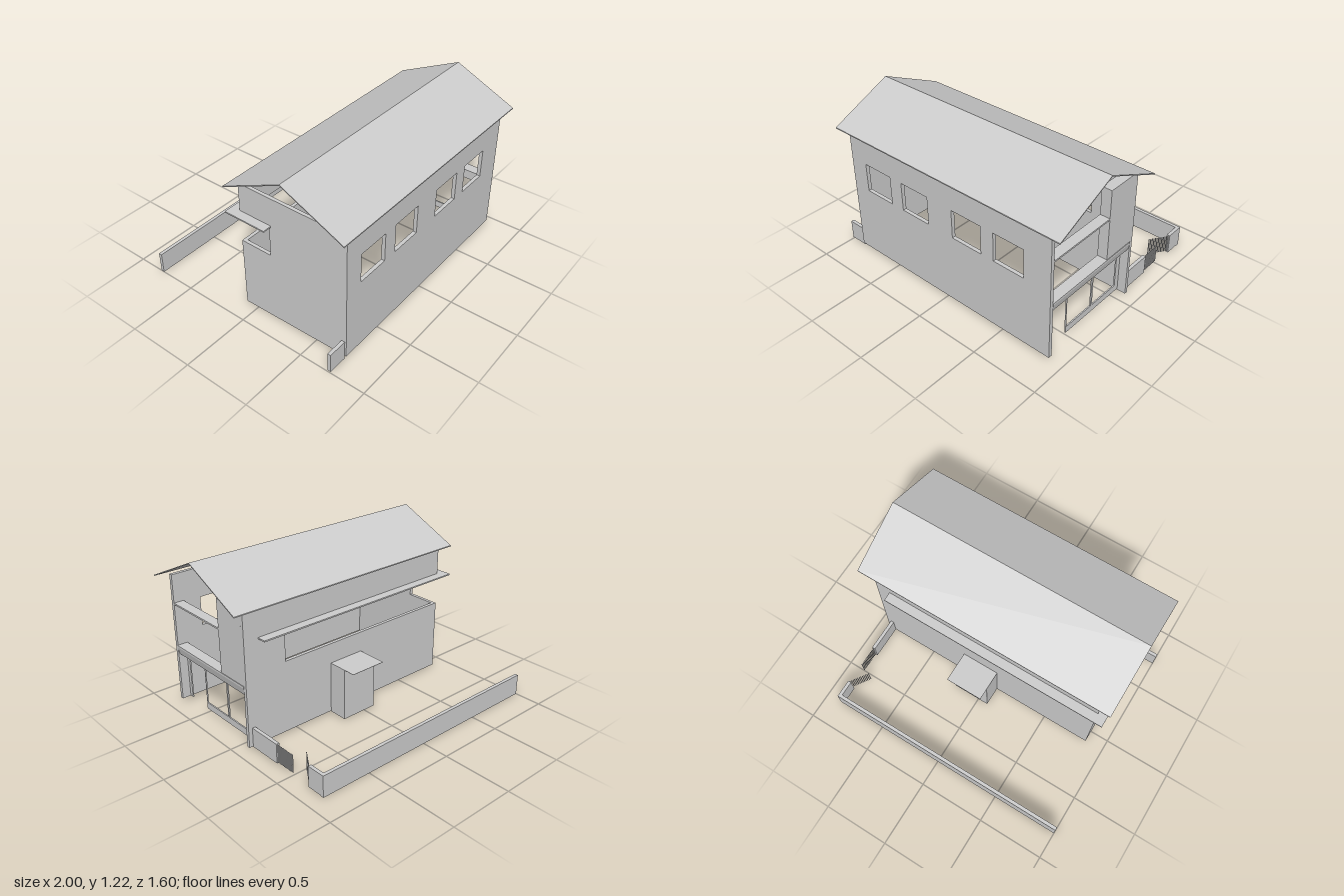
import * as THREE from 'three';

export function createModel() {
  const model = new THREE.Group();
  const grey = new THREE.MeshStandardMaterial({ color: 0xcccccc, flatShading: true, side: THREE.DoubleSide });

  const add = (name, geometry, parent = model) => {
    const mesh = new THREE.Mesh(geometry, grey);
    mesh.name = name;
    parent.add(mesh);
    return mesh;
  };
  // Box given by its limits on each axis
  const block = (name, [x0, x1], [y0, y1], [z0, z1], parent) => {
    const mesh = add(name, new THREE.BoxGeometry(x1 - x0, y1 - y0, z1 - z0), parent);
    mesh.position.set((x0 + x1) / 2, (y0 + y1) / 2, (z0 + z1) / 2);
    return mesh;
  };
  const outline = (pts) => new THREE.Shape(pts.map(([a, b]) => new THREE.Vector2(a, b)));
  // Upright panel drawn in x,y and extruded from z0 to z1
  const panelZ = (name, shape, z0, z1) =>
    add(name, new THREE.ExtrudeGeometry(shape, { depth: z1 - z0, bevelEnabled: false }).translate(0, 0, z0));
  // Upright panel drawn in z,y and extruded from x0 to x1
  const panelX = (name, shape, x0, x1) =>
    add(name, new THREE.ExtrudeGeometry(shape, { depth: x1 - x0, bevelEnabled: false }).rotateY(-Math.PI / 2).translate(x1, 0, 0));

  // Front wall with four windows
  const front = outline([[-0.86, 0.04], [0.91, 0.04], [0.91, 1], [-0.86, 1]]);
  for (const [a, b] of [[-0.72, -0.475], [-0.365, -0.12], [0.1, 0.35], [0.455, 0.7]])
    front.holes.push(outline([[a, 0.565], [a, 0.78], [b, 0.78], [b, 0.565]]));
  panelZ('frontWall', front, 0.73, 0.757);

  // Back wall and right wall share a corner strip window
  panelZ('backWall', outline([[-0.835, 0.02], [0.91, 0.02], [0.91, 1], [-0.835, 1],
    [-0.835, 0.78], [0.59, 0.78], [0.59, 0.55], [-0.835, 0.55]]), -0.09, -0.065);
  panelX('rightWall', outline([[-0.09, 0.02], [0.73, 0.04], [0.73, 1], [-0.09, 1],
    [-0.09, 0.78], [0.155, 0.78], [0.155, 0.55], [-0.09, 0.55]]), -0.86, -0.835);

  // Ledge over the strip window
  block('backLedge', [-0.925, 0.8], [0.78, 0.79], [-0.157, -0.09]);
  block('sideLedge', [-0.925, -0.86], [0.78, 0.79], [-0.09, 0.17]);

  // Open left side: upper wall block, rail and floor beam with a sloped underside
  block('leftUpperWall', [0.835, 0.91], [0.47, 1], [-0.065, 0.19]);
  block('balconyRail', [0.835, 0.91], [0.78, 0.792], [0.19, 0.73]);
  panelZ('floorBeam', outline([[0.835, 0.4], [0.9, 0.4], [0.914, 0.455], [0.914, 0.47], [0.835, 0.47]]), -0.065, 0.73);

  // Glazed door frames
  const doors = new THREE.Group();
  doors.name = 'doorFrames';
  model.add(doors);
  const doorX = [0.835, 0.845];
  block('doorSill', doorX, [0.03, 0.08], [-0.065, 0.508], doors);
  for (const [a, b] of [[-0.065, -0.025], [0.23, 0.245], [0.503, 0.508]])
    block('doorStile', doorX, [0.08, 0.4], [a, b], doors);
  block('doorPost', doorX, [0.04, 0.4], [0.7, 0.73], doors);

  // Gable roof, a thin folded sheet
  panelX('roof', outline([[0.8, 1], [0.335, 1.215], [-0.135, 1], [-0.135, 1.008], [0.335, 1.222], [0.8, 1.008]].map(([z, y]) => [z, y - 0.004])), -0.945, 1);

  // Back porch, open below, with a flat canopy
  block('porchBack', [-0.08, 0.2], [0.015, 0.399], [-0.232, -0.212]);
  block('porchLeft', [0.18, 0.2], [0.015, 0.399], [-0.212, -0.09]);
  block('porchRight', [-0.08, -0.06], [0.015, 0.399], [-0.212, -0.09]);
  block('porchCanopy', [-0.08, 0.2], [0.399, 0.401], [-0.32, -0.09]);

  // Garden walls
  block('frontStubWall', [-1, -0.86], [0.015, 0.16], [0.72, 0.745]);
  block('backGardenWall', [-1, 0.88], [0.003, 0.16], [-0.8, -0.775]);
  block('sideGardenWallRear', [0.855, 0.88], [0.007, 0.16], [-0.775, -0.66]);
  block('sideGardenWallNear', [0.855, 0.88], [0.016, 0.16], [-0.345, -0.09]);

  // Gate leaves made of thin bars, one closed and one ajar
  const gateLeaf = (name, [xa, za], [xb, zb], count) => {
    const leaf = new THREE.Group();
    leaf.name = name;
    const angle = Math.atan2(xb - xa, zb - za);
    for (let i = 0; i < count; i++) {
      const t = i / (count - 1);
      const bar = add('gateBar', new THREE.BoxGeometry(0.004, 0.133, 0.007), leaf);
      bar.position.set(xa + (xb - xa) * t, 0.087, za + (zb - za) * t);
      bar.rotation.y = angle;
    }
    model.add(leaf);
  };
  gateLeaf('closedGate', [0.87, -0.35], [0.87, -0.497], 13);
  gateLeaf('openGate', [0.87, -0.657], [0.787, -0.533], 13);

  return model;
}
